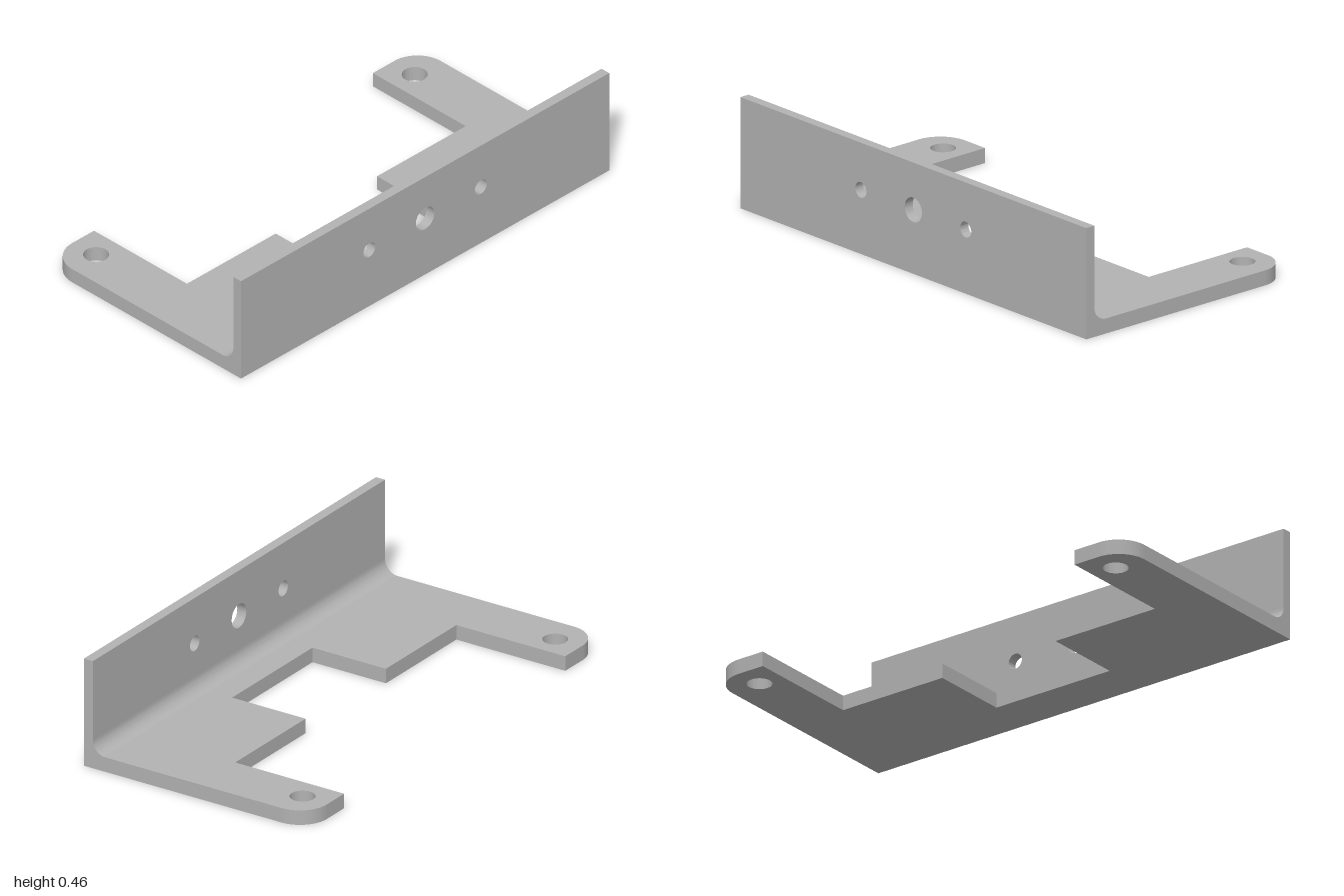
import * as THREE from 'three';
import { toCreasedNormals } from 'three/addons/utils/BufferGeometryUtils.js';

const HALF_DEPTH = 0.523, WALL_INNER = 0.481, HEIGHT = 0.455, BASE_TOP = 0.0615;
const FILLET = 0.058, CORNER = 0.125;

const metal = new THREE.MeshStandardMaterial({ color: 0xb2b2b2 });
metal.name = 'greyMetal';

function addHole(shape, x, y, r) {
  const hole = new THREE.Path();
  hole.absarc(x, y, r, 0, Math.PI * 2, true);
  shape.holes.push(hole);
}

function extrude(shape, depth) {
  const geometry = new THREE.ExtrudeGeometry(shape, { depth, bevelEnabled: false, curveSegments: 24 });
  return toCreasedNormals(geometry, Math.PI / 6);
}

function part(name, geometry) {
  const mesh = new THREE.Mesh(geometry, metal);
  mesh.name = name;
  return mesh;
}

// Stepped base with two arms; the outline is drawn with y = -z
function basePlate() {
  const s = new THREE.Shape();
  s.moveTo(-1, -WALL_INNER);
  s.lineTo(1, -WALL_INNER);
  s.absarc(1 - CORNER, HALF_DEPTH - CORNER, CORNER, 0, Math.PI / 2, false);
  s.lineTo(0.757, HALF_DEPTH);
  s.lineTo(0.757, 0.016);
  s.lineTo(0.275, 0.016);
  s.lineTo(0.275, -0.326);
  s.lineTo(-0.275, -0.326);
  s.lineTo(-0.275, 0.016);
  s.lineTo(-0.757, 0.016);
  s.lineTo(-0.757, HALF_DEPTH);
  s.absarc(-1 + CORNER, HALF_DEPTH - CORNER, CORNER, Math.PI / 2, Math.PI, false);
  s.closePath();
  for (const side of [-1, 1]) addHole(s, side * 0.865, 0.403, 0.05);
  return part('basePlate', extrude(s, BASE_TOP).rotateX(-Math.PI / 2));
}

// Upright front wall with one large and two small holes
function frontWall() {
  const s = new THREE.Shape();
  s.moveTo(-1, 0);
  s.lineTo(1, 0);
  s.lineTo(1, HEIGHT);
  s.lineTo(-1, HEIGHT);
  s.closePath();
  addHole(s, 0, 0.262, 0.05);
  for (const side of [-1, 1]) addHole(s, side * 0.303, 0.262, 0.032);
  return part('frontWall', extrude(s, HALF_DEPTH - WALL_INNER).translate(0, 0, WALL_INNER));
}

// Concave fillet along the inside of the bend
function bendFillet() {
  const s = new THREE.Shape();
  s.moveTo(-WALL_INNER, BASE_TOP);
  s.lineTo(-WALL_INNER + FILLET, BASE_TOP);
  s.absarc(-WALL_INNER + FILLET, BASE_TOP + FILLET, FILLET, -Math.PI / 2, -Math.PI, true);
  s.closePath();
  return part('bendFillet', extrude(s, 2).rotateY(Math.PI / 2).translate(-1, 0, 0));
}

export function createModel() {
  const bracket = new THREE.Group();
  bracket.name = 'mountingBracket';
  bracket.add(basePlate(), frontWall(), bendFillet());
  return bracket;
}
